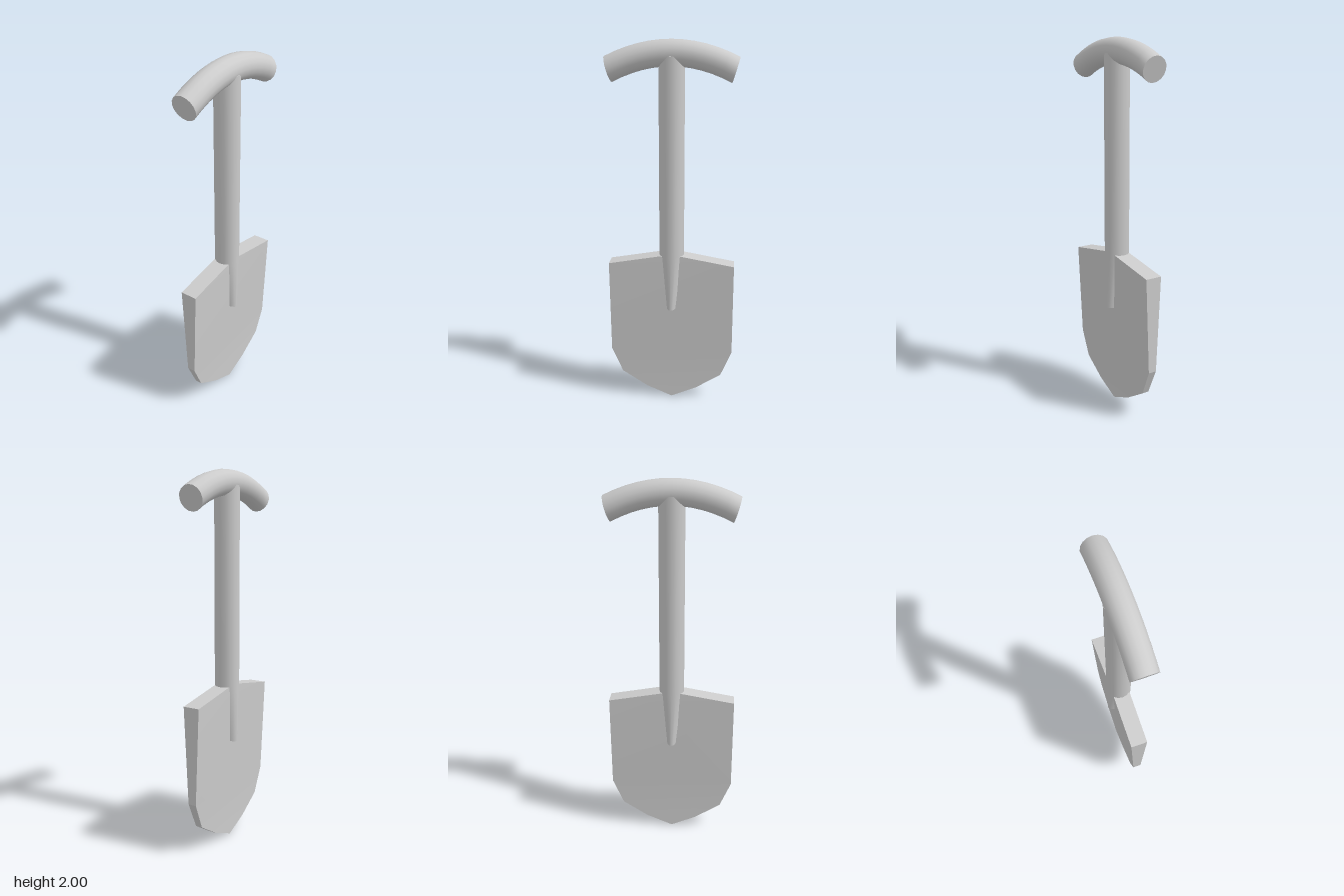
import * as THREE from 'three';
import { toCreasedNormals } from 'three/addons/utils/BufferGeometryUtils.js';

const material = new THREE.MeshStandardMaterial({ color: 0xcccccc });

// Moves every vertex of a geometry by a rule, then rebuilds normals with sharp edges kept.
function reshape(geometry, rule, crease) {
  const pos = geometry.attributes.position;
  const v = new THREE.Vector3();
  for (let i = 0; i < pos.count; i++) {
    rule(v.fromBufferAttribute(pos, i));
    pos.setXYZ(i, v.x, v.y, v.z);
  }
  return toCreasedNormals(geometry, crease);
}

function addPart(group, name, geometry) {
  const mesh = new THREE.Mesh(geometry, material);
  mesh.name = name;
  group.add(mesh);
}

export function createModel() {
  const group = new THREE.Group();
  group.name = 'spade';

  // Blade: rows of [height, half width, half thickness], from tip to shoulder
  const rows = [
    [0, 0, 0.019],
    [0.06, 0.14, 0.019],
    [0.15, 0.28, 0.019],
    [0.295, 0.34, 0.023],
    [0.82, 0.34, 0.046],
    [0.87, 0.055, 0.046],
  ];
  const last = rows.length - 1;
  const blade = new THREE.BoxGeometry(2, last, 2, 1, last, 1);
  addPart(group, 'blade', reshape(blade, (v) => {
    const [y, w, t] = rows[Math.round(v.y + last / 2)];
    v.set(v.x * w, y, v.z * t);
  }, 0.1));

  // Shaft: round, pinched sideways into a narrow tongue over the blade
  const radius = 0.067;
  const top = 1.92, shoulder = 0.87, foot = 0.56;
  const shaft = new THREE.CylinderGeometry(radius, radius, 2, 16, 2);
  addPart(group, 'shaft', reshape(shaft, (v) => {
    if (v.y < -0.5) v.x *= 0.42;
    v.y = [foot, shoulder, top][Math.round(v.y + 1)];
  }, 0.9));

  // Grip: a round bar bowed downwards at both ends
  const half = 0.323, drop = 0.082, tilt = 0.29;
  const grip = new THREE.CylinderGeometry(radius, radius, half * 2, 16, 12);
  grip.rotateZ(-Math.PI / 2);
  addPart(group, 'grip', reshape(grip, (v) => {
    const t = v.x / half;
    const lift = v.y;
    v.x += lift * Math.sin(t * tilt);
    v.y = 2 - radius - drop * t * t + lift * Math.cos(t * tilt);
  }, 0.7));

  return group;
}
